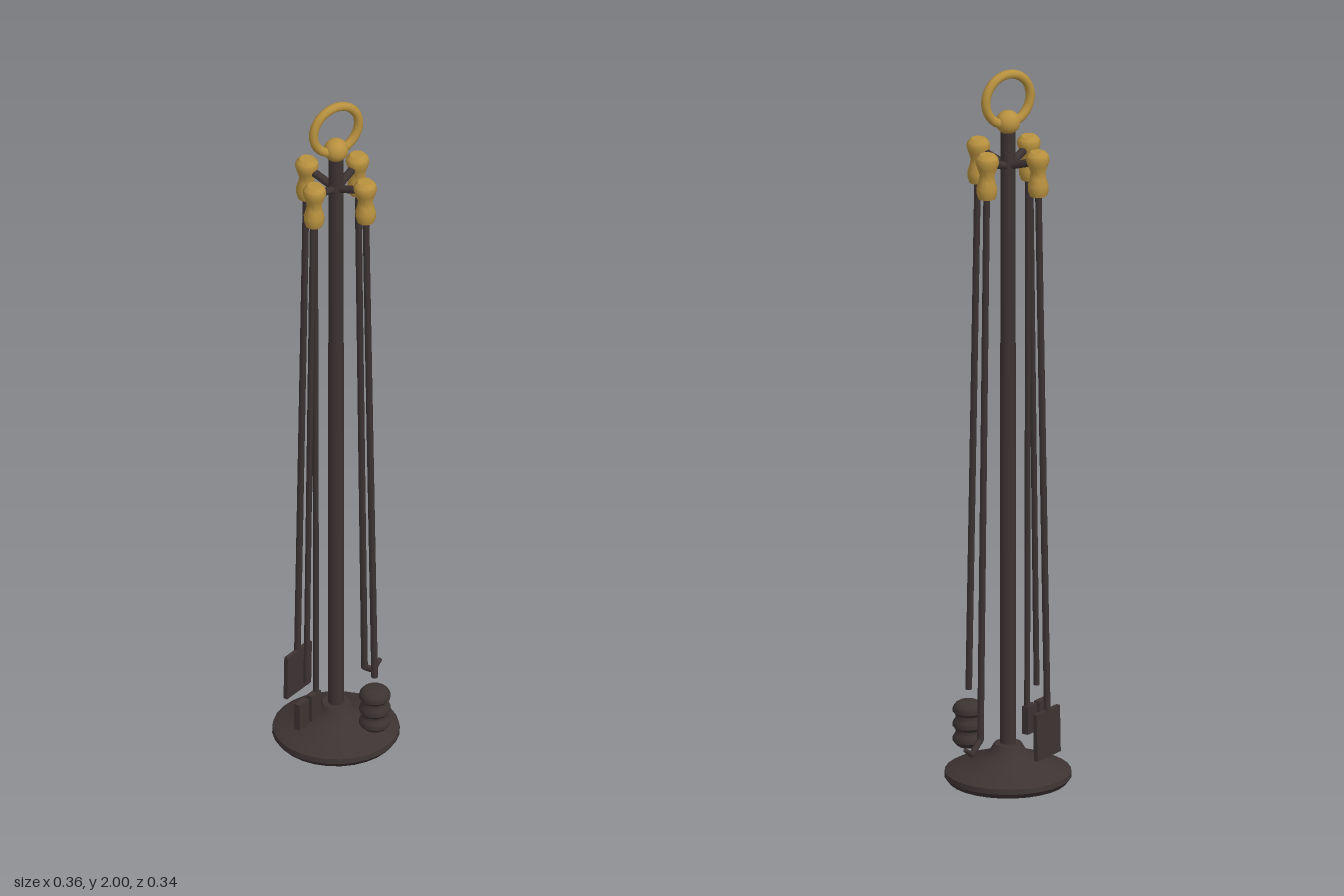
import * as THREE from 'three';
import { toCreasedNormals } from 'three/addons/utils/BufferGeometryUtils.js';

const iron = new THREE.MeshStandardMaterial({ name: 'dark iron', color: 0x3d3333 });
const brass = new THREE.MeshStandardMaterial({ name: 'brass', color: 0xb8913f });

function add(parent, name, geometry, material, x = 0, y = 0, z = 0) {
  const mesh = new THREE.Mesh(geometry, material);
  mesh.name = name;
  mesh.position.set(x, y, z);
  parent.add(mesh);
  return mesh;
}

// Turned solid from [radius, height] pairs
function lathe(points, segments) {
  const profile = points.map(([r, y]) => new THREE.Vector2(r, y));
  return toCreasedNormals(new THREE.LatheGeometry(profile, segments), 0.7);
}

// Round bar between two [x, y] points in a tool's own radial plane
function rod(parent, name, a, b, r0 = 0.009, r1 = r0) {
  const dx = b[0] - a[0], dy = b[1] - a[1];
  const bar = add(parent, name, new THREE.CylinderGeometry(r1, r0, Math.hypot(dx, dy), 8), iron,
    (a[0] + b[0]) / 2, (a[1] + b[1]) / 2);
  bar.rotation.z = Math.atan2(dy, dx) - Math.PI / 2;
}

const handleShape = lathe([[0, 0], [0.023, 0], [0.027, 0.012], [0.028, 0.03], [0.022, 0.05], [0.02, 0.065],
  [0.027, 0.085], [0.032, 0.1], [0.03, 0.113], [0.02, 0.124], [0, 0.125]], 12);

// Local x points outward from the pole
function makeTool(stand, name, index) {
  const tool = new THREE.Group();
  tool.name = name;
  tool.rotation.y = THREE.MathUtils.degToRad(23 + 90 * index);
  stand.add(tool);
  const handle = add(tool, 'handle', handleShape, brass, 0.099, 1.665, 0);
  handle.rotation.z = 0.022;
  rod(tool, 'hangerArm', [0, 1.73], [0.085, 1.757], 0.011);
  return tool;
}

export function createModel() {
  const model = new THREE.Group();
  model.name = 'fireplaceToolSet';
  const stand = new THREE.Group();
  stand.name = 'stand';
  stand.position.set(-0.008, 0, -0.002);
  model.add(stand);

  // Foot, pole, finial and carrying ring
  add(stand, 'foot', lathe([[0, 0], [0.16, 0], [0.171, 0.014], [0.169, 0.028], [0.15, 0.039], [0.07, 0.065],
    [0.048, 0.085], [0.037, 0.104], [0, 0.106]], 28), iron);
  add(stand, 'pole', new THREE.CylinderGeometry(0.02, 0.022, 1.75, 12), iron, 0, 0.965, 0);
  add(stand, 'finial', new THREE.SphereGeometry(0.033, 16, 12), brass, 0, 1.853, 0);
  add(stand, 'ring', new THREE.TorusGeometry(0.07, 0.0125, 10, 32), brass, 0, 1.9175, 0);

  // Poker with a bent tip
  const poker = makeTool(stand, 'poker', 0);
  rod(poker, 'pokerShaft', [0.128, 0.145], [0.099, 1.68]);
  rod(poker, 'pokerBend', [0.127, 0.148], [0.169, 0.116], 0.009, 0.008);
  rod(poker, 'pokerTip', [0.166, 0.115], [0.199, 0.137], 0.008, 0.006);

  // Shovel with an upright flat blade
  const shovel = makeTool(stand, 'shovel', 1);
  rod(shovel, 'shovelShaft', [0.128, 0.215], [0.099, 1.68]);
  const blade = add(shovel, 'shovelBlade', new THREE.BoxGeometry(0.012, 0.13, 0.108), iron, 0.127, 0.156, 0);
  blade.rotation.z = 0.02;

  // Tongs with two legs and gripping pads
  const tongs = makeTool(stand, 'tongs', 2);
  rod(tongs, 'tongsOuterLeg', [0.133, 0.23], [0.104, 1.68], 0.008);
  rod(tongs, 'tongsInnerLeg', [0.089, 0.17], [0.094, 1.68], 0.008);
  for (const x of [0.155, 0.1]) {
    add(tongs, 'tongsPad', new THREE.BoxGeometry(0.042, 0.078, 0.018), iron, x, 0.144, 0);
  }

  // Brush with a three-tiered bristle head
  const brush = makeTool(stand, 'brush', 3);
  rod(brush, 'brushShaft', [0.128, 0.23], [0.099, 1.68]);
  const tiers = [[0, 0.07], [0.026, 0.07]];
  for (let i = 0; i < 3; i++) {
    const y = 0.072 + i * 0.041;
    tiers.push([0.034, y + 0.004], [0.042, y + 0.013], [0.042, y + 0.026], [0.034, y + 0.037]);
  }
  tiers.push([0.026, 0.196], [0, 0.197]);
  add(brush, 'brushHead', lathe(tiers, 14), iron, 0.129, 0, 0);

  return model;
}
